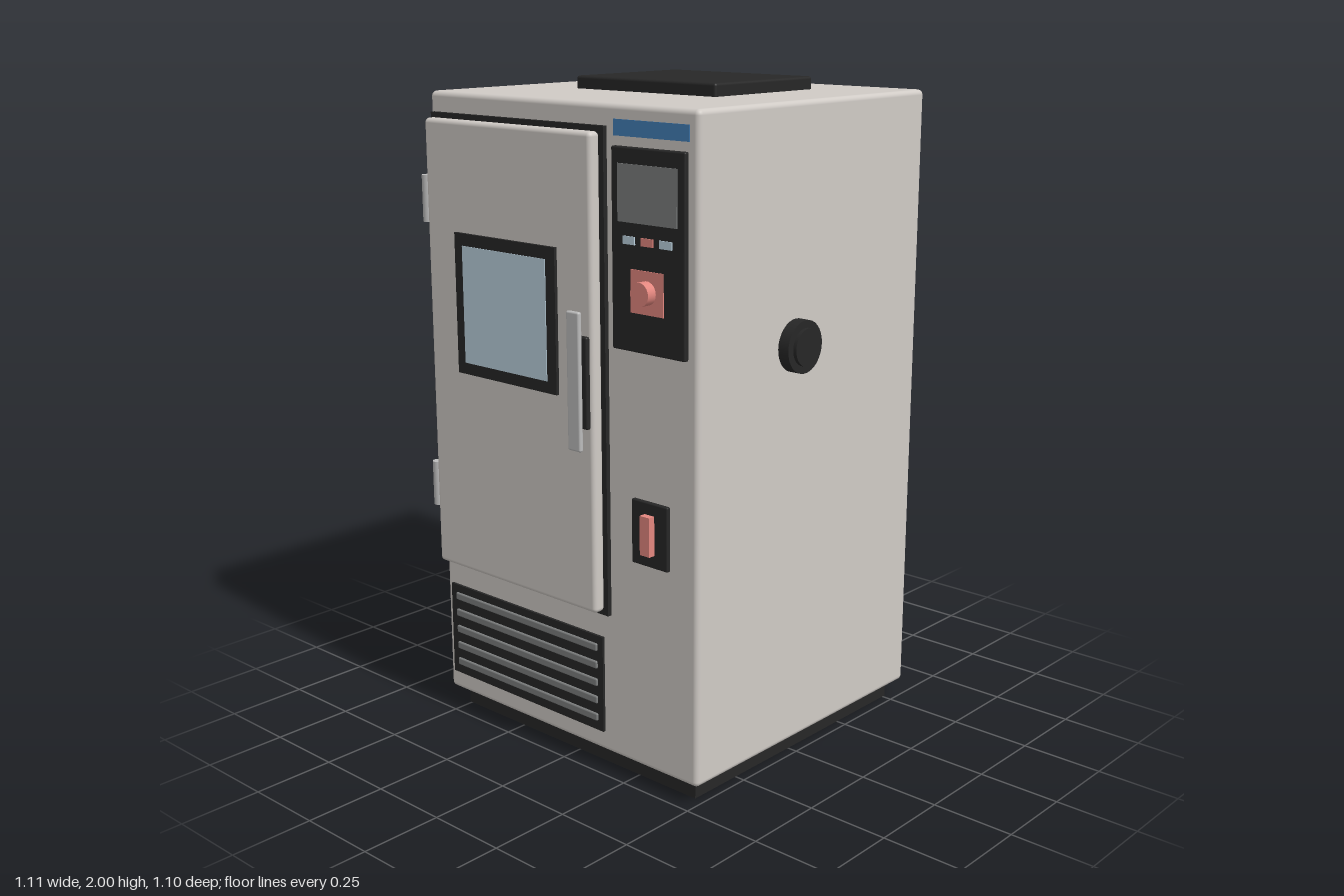
import * as THREE from 'three';
import { RoundedBoxGeometry } from 'three/addons/geometries/RoundedBoxGeometry.js';

const mat = (name, color) => {
  const m = new THREE.MeshStandardMaterial({ color });
  m.name = name;
  return m;
};

export function createModel() {
  const model = new THREE.Group();
  model.name = 'testChamber';

  const grey = mat('warmGrey', 0xd0cbc6);
  const steel = mat('steel', 0xbcbcbc);
  const black = mat('black', 0x272727);
  const slatGrey = mat('slatGrey', 0x7c7e7e);
  const glassBlue = mat('glassBlue', 0xbdd2df);
  const red = mat('red', 0xe4877f);
  const blue = mat('blue', 0x437fb8);

  // Box given by its extents; r > 0 rounds the edges
  const box = (name, m, [x0, x1], [y0, y1], [z0, z1], r = 0, parent = model) => {
    const s = [x1 - x0, y1 - y0, z1 - z0];
    const g = r ? new RoundedBoxGeometry(...s, 3, r) : new THREE.BoxGeometry(...s);
    const mesh = new THREE.Mesh(g, m);
    mesh.position.set((x0 + x1) / 2, (y0 + y1) / 2, (z0 + z1) / 2);
    mesh.name = name;
    parent.add(mesh);
    return mesh;
  };

  // Cylinder centred at a point, along the given axis
  const cyl = (name, m, r, h, pos, axis = 'y') => {
    const g = new THREE.CylinderGeometry(r, r, h, 32);
    if (axis === 'x') g.rotateZ(-Math.PI / 2);
    if (axis === 'z') g.rotateX(Math.PI / 2);
    const mesh = new THREE.Mesh(g, m);
    mesh.position.set(...pos);
    mesh.name = name;
    model.add(mesh);
  };

  const group = (name) => {
    const g = new THREE.Group();
    g.name = name;
    model.add(g);
    return g;
  };

  // Cabinet, plinth and top plate
  box('cabinet', grey, [-0.552, 0.509], [0.059, 1.962], [-0.551, 0.47], 0.016);
  box('plinth', black, [-0.508, 0.468], [0, 0.075], [-0.512, 0.43]);
  box('topPlate', black, [-0.298, 0.254], [1.955, 2], [-0.332, 0.111], 0.008);

  // Door with gasket, window, handle and hinges
  box('doorGasket', black, [-0.534, 0.178], [0.498, 1.902], [0.465, 0.484]);
  box('door', grey, [-0.519, 0.168], [0.513, 1.888], [0.484, 0.525], 0.014);
  box('windowFrame', black, [-0.386, 0.034], [1.143, 1.564], [0.52, 0.535]);
  box('windowGlass', glassBlue, [-0.352, -0.003], [1.178, 1.528], [0.531, 0.537]);
  box('handleBase', black, [0.08, 0.157], [1.063, 1.328], [0.52, 0.537], 0.006);
  box('handleGrip', steel, [0.092, 0.142], [0.998, 1.398], [0.537, 0.552], 0.006);
  for (const y of [0.76, 1.648]) cyl('hinge', steel, 0.018, 0.14, [-0.537, y, 0.502]);

  // Control panel
  box('controlPanel', black, [0.206, 0.473], [1.298, 1.852], [0.465, 0.484], 0.005);
  box('screen', slatGrey, [0.232, 0.447], [1.652, 1.808], [0.48, 0.487]);
  [glassBlue, red, glassBlue].forEach((m, i) => {
    const x = 0.273 + i * 0.067;
    box('button', m, [x - 0.022, x + 0.022], [1.593, 1.615], [0.48, 0.488]);
  });
  box('knobPlate', red, [0.279, 0.398], [1.408, 1.527], [0.48, 0.487]);
  cyl('knob', red, 0.033, 0.035, [0.339, 1.468, 0.5], 'z');
  box('nameStrip', blue, [0.205, 0.477], [1.878, 1.922], [0.466, 0.472]);

  // Power switch
  box('switchPlate', black, [0.272, 0.407], [0.688, 0.877], [0.465, 0.482], 0.004);
  box('switchRocker', red, [0.323, 0.359], [0.727, 0.842], [0.48, 0.503]);

  // Front grille with rounded slats
  const grille = group('frontGrille');
  box('grillePanel', black, [-0.524, 0.148], [0.122, 0.422], [0.465, 0.478], 0, grille);
  for (let i = 0; i < 5; i++) {
    const y = 0.163 + i * 0.0556;
    box('grilleSlat', slatGrey, [-0.499, 0.127], [y - 0.012, y + 0.012], [0.466, 0.484], 0.005, grille);
  }

  // Vent slots on the back and the hinge side
  const vents = group('ventSlots');
  for (let i = 0; i < 5; i++) {
    const y = [0.205 + i * 0.054, 0.227 + i * 0.054];
    box('backVent', black, [-0.351, 0.308], y, [-0.5525, -0.546], 0, vents);
    box('sideVent', black, [-0.5535, -0.547], y, [-0.376, 0.18], 0, vents);
  }

  // Cable port
  cyl('portFlange', black, 0.077, 0.04, [0.525, 1.28, 0.055], 'x');
  cyl('portPlug', black, 0.055, 0.03, [0.541, 1.28, 0.055], 'x');

  return model;
}
